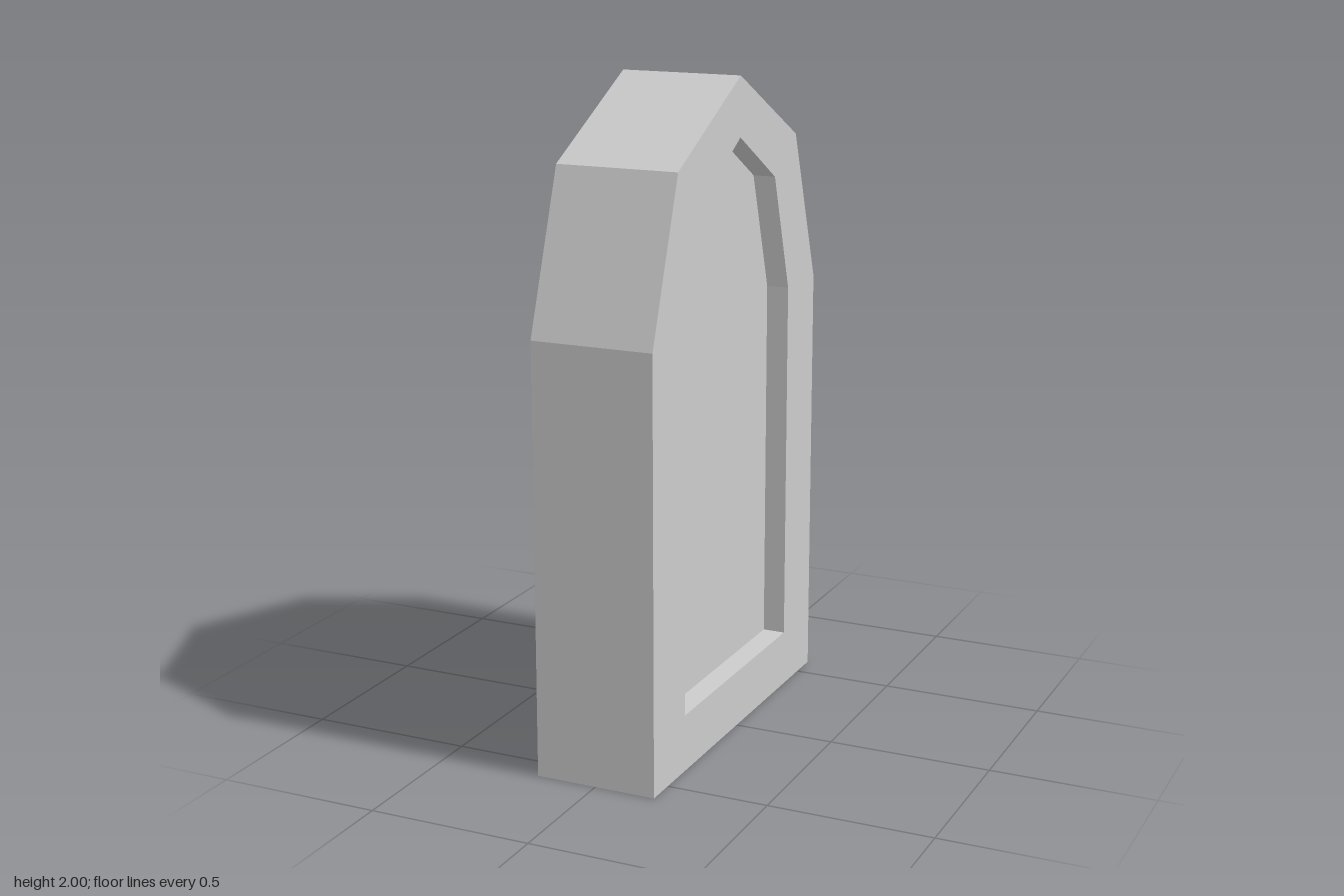
import * as THREE from 'three';

const material = new THREE.MeshStandardMaterial({ color: 0xcccccc, flatShading: true });

// Symmetric outline: half profile from bottom to shoulder, closed by a peak
function mirrored(half, peakY) {
  const right = half.map(([x, y]) => new THREE.Vector2(x, y));
  const left = half.map(([x, y]) => new THREE.Vector2(-x, y)).reverse();
  return [...right, new THREE.Vector2(0, peakY), ...left];
}

export function createModel() {
  const group = new THREE.Group();
  group.name = 'archedWindow';
  const depth = 0.376;

  // Frame: pointed arch outline with a matching opening, facing sideways
  const outline = new THREE.Shape(mirrored([[0.593, 0], [0.593, 1.308], [0.427, 1.78]], 2));
  outline.holes.push(new THREE.Path(mirrored([[0.38, 0.175], [0.38, 1.308], [0.264, 1.67]], 1.822)));
  const frameGeometry = new THREE.ExtrudeGeometry(outline, { depth, bevelEnabled: false });
  frameGeometry.translate(0, 0, -depth / 2);
  frameGeometry.rotateY(Math.PI / 2);
  const frame = new THREE.Mesh(frameGeometry, material);
  frame.name = 'frame';

  // Thin pane set near the left face, stopping just short of the peak
  const bottom = 0.17, top = 1.8;
  const pane = new THREE.Mesh(new THREE.BoxGeometry(0.01, top - bottom, 0.764), material);
  pane.position.set(0.113, (top + bottom) / 2, 0);
  pane.name = 'pane';

  group.add(frame, pane);
  return group;
}
